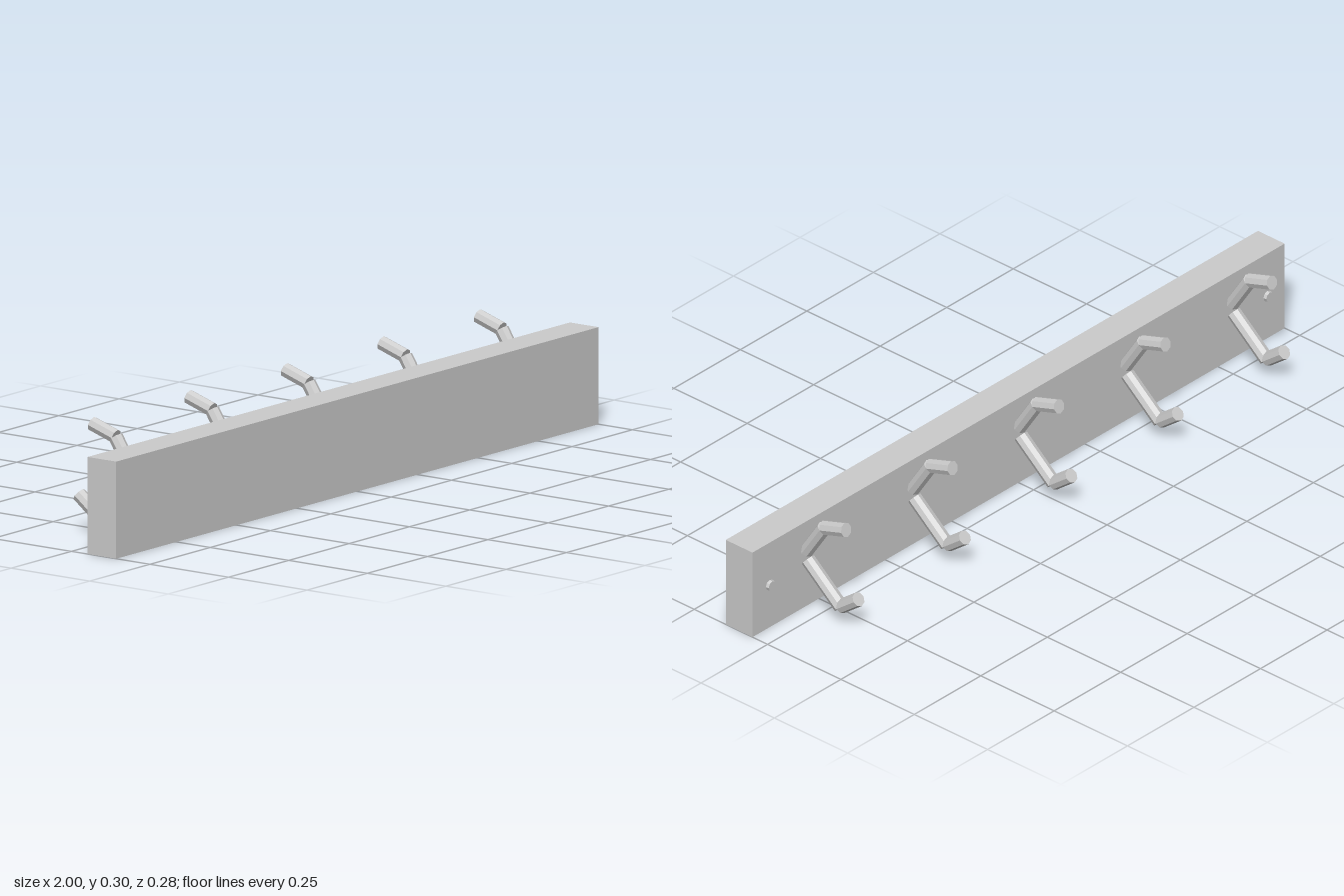
import * as THREE from 'three';

const material = new THREE.MeshStandardMaterial({ color: 0xcccccc, flatShading: true });

// Eight-sided rod between two [y, z] points in the x = 0 plane
function rod(name, from, to, radius = 0.019) {
  const a = new THREE.Vector3(0, ...from);
  const b = new THREE.Vector3(0, ...to);
  const dir = b.clone().sub(a);
  const mesh = new THREE.Mesh(new THREE.CylinderGeometry(radius, radius, dir.length(), 8), material);
  mesh.name = name;
  mesh.position.copy(a).add(b).multiplyScalar(0.5);
  mesh.rotation.x = Math.atan2(dir.z, dir.y);
  return mesh;
}

// Double coat hook: a tall upper prong and a lower prong with an upturned tip
function createHook(x) {
  const hook = new THREE.Group();
  hook.name = 'hook';
  hook.add(
    rod('upperArm', [0.167, 0.048], [0.26, -0.0125]),
    rod('upperTip', [0.26, -0.0115], [0.284, -0.0866]),
    rod('lowerArm', [0.142, 0.0436], [0.0488, -0.0686]),
    rod('lowerTip', [0.051, -0.0705], [0.0955, -0.1286])
  );
  hook.position.x = x;
  return hook;
}

export function createModel() {
  const model = new THREE.Group();
  model.name = 'coatRack';

  // Wall board
  const board = new THREE.Mesh(new THREE.BoxGeometry(2, 0.251, 0.091), material);
  board.name = 'board';
  board.position.set(0, 0.1255, 0.097);
  model.add(board);

  // Row of five hooks
  for (let i = -2; i <= 2; i++) model.add(createHook(i * 0.4));

  // Screw heads near both ends
  for (const side of [-1, 1]) {
    const screw = new THREE.Mesh(new THREE.CylinderGeometry(0.0135, 0.0155, 0.012, 8), material);
    screw.name = 'screwHead';
    screw.rotation.x = -Math.PI / 2;
    screw.position.set(side * 0.935, 0.1255, 0.049);
    model.add(screw);
  }
  return model;
}
